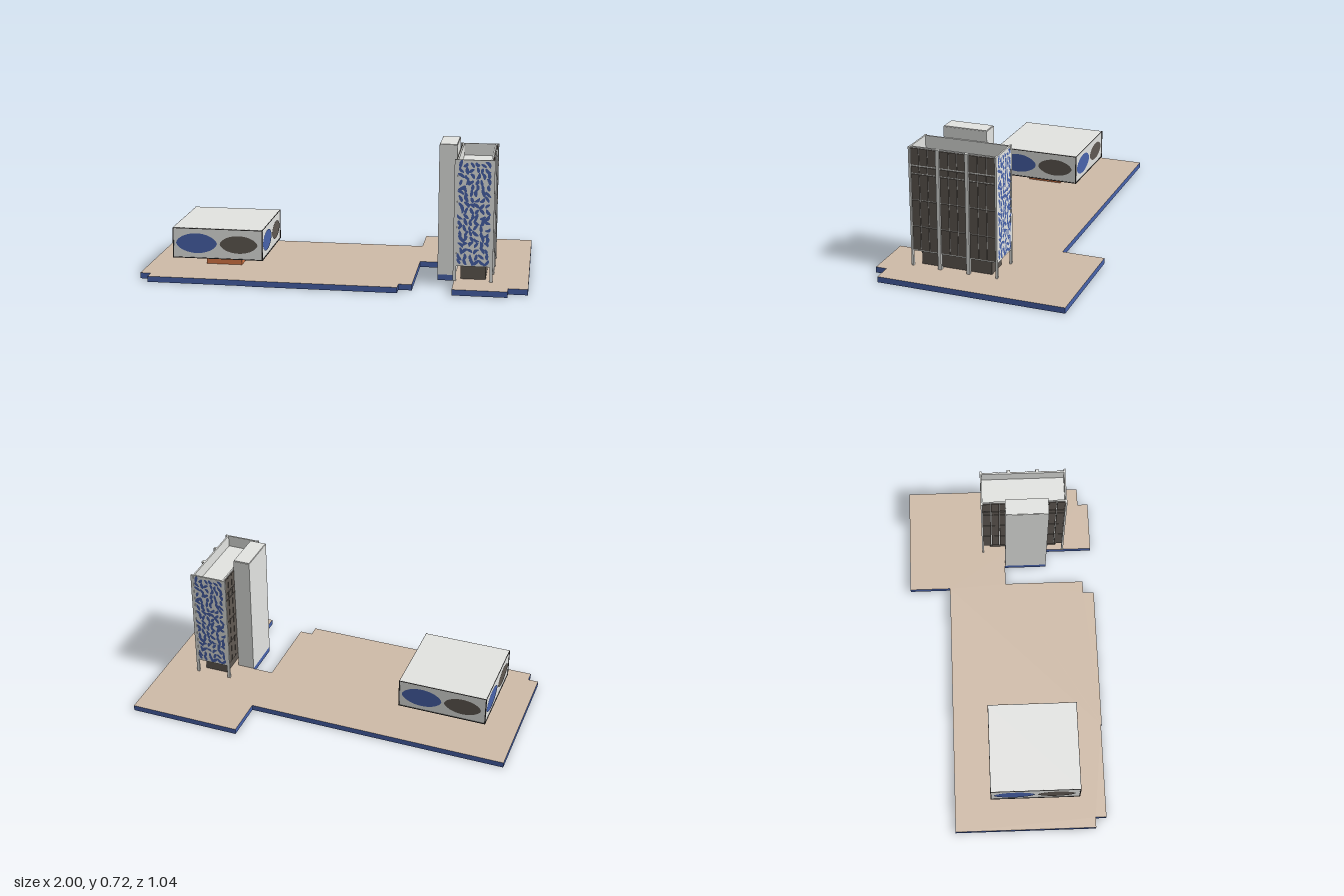
import * as THREE from 'three';
import { mergeGeometries } from 'three/addons/utils/BufferGeometryUtils.js';

const paint = (name, color) => {
  const m = new THREE.MeshStandardMaterial({ color });
  m.name = name;
  return m;
};

export function createModel() {
  const model = new THREE.Group();
  const concrete = paint('pale concrete', 0xe3e4e1);
  const blue = paint('blue', 0x4863ab);
  const paving = paint('tan paving', 0xcfbba8);
  const dark = paint('dark glass', 0x605952);
  const brick = paint('orange brick', 0xd97846);
  const trim = paint('dark trim', 0x3a3836);

  const add = (parent, name, geo, mat) => {
    const mesh = new THREE.Mesh(geo, mat);
    mesh.name = name;
    parent.add(mesh);
    return mesh;
  };
  const group = (name, parent = model) => {
    const g = new THREE.Group();
    g.name = name;
    parent.add(g);
    return g;
  };
  // Box given by its limits on each axis
  const block = (x0, x1, y0, y1, z0, z1) =>
    new THREE.BoxGeometry(x1 - x0, y1 - y0, z1 - z0)
      .translate((x0 + x1) / 2, (y0 + y1) / 2, (z0 + z1) / 2);

  // Plinth: notched tan slab, with a blue skirt hanging below its edge
  const corners = [
    [-1, -0.295], [0.4, -0.295], [0.4, -0.52], [1, -0.52], [1, 0.457], [0.9, 0.457],
    [0.9, 0.515], [0.622, 0.515], [0.622, 0.254], [0.53, 0.254], [0.53, 0.022], [0.418, 0.022],
    [0.418, 0.46], [0.35, 0.46], [0.35, 0.52], [-0.43, 0.52], [-0.43, 0.515], [-0.945, 0.515],
    [-0.945, 0.457], [-1, 0.457],
  ].map(([x, z]) => new THREE.Vector2(x, z));
  // Same outline moved inwards by d (all corners are square)
  const inset = (d) => corners.map((p, i) => {
    const n = corners.length;
    const a = p.clone().sub(corners[(i + n - 1) % n]).normalize();
    const b = corners[(i + 1) % n].clone().sub(p).normalize();
    return new THREE.Vector2(p.x - (a.y + b.y) * d, p.y + (a.x + b.x) * d);
  });
  const slab = (shape, y0, y1) => new THREE.ExtrudeGeometry(shape, { depth: y1 - y0, bevelEnabled: false })
    .rotateX(Math.PI / 2).translate(0, y1, 0);
  add(model, 'plinthSlab', slab(new THREE.Shape(corners), 0.018, 0.03), [paving, blue]);
  const skirt = new THREE.Shape(corners);
  skirt.holes.push(new THREE.Path(inset(0.004)));
  add(model, 'plinthSkirt', slab(skirt, 0, 0.018), blue);

  // Low pavilion on a brick base
  const pavilion = group('pavilion');
  pavilion.position.set(-0.606, 0, 0.136);
  add(pavilion, 'pavilionBase', block(-0.095, 0.095, 0.03, 0.1, -0.095, 0.095), brick);
  add(pavilion, 'pavilionHall', block(-0.236, 0.236, 0.098, 0.258, -0.236, 0.236), concrete);
  const lens = (rx, ry) => {
    const pts = [];
    for (let i = 0; i < 40; i++) {
      const a = (i / 40) * Math.PI * 2;
      pts.push(new THREE.Vector2(rx * Math.cos(a),
        ry * Math.sign(Math.sin(a)) * Math.pow(Math.abs(Math.sin(a)), 1.2)));
    }
    return new THREE.ShapeGeometry(new THREE.Shape(pts));
  };
  for (let i = 0; i < 4; i++) {
    const side = group('pavilionSide', pavilion);
    side.rotation.y = i * Math.PI / 2;
    add(side, 'blueLens', lens(0.109, 0.053).translate(-0.112, 0.178, 0.238), blue);
    add(side, 'darkLens', lens(0.1, 0.047).translate(0.112, 0.177, 0.238), dark);
    add(side, 'bottomTrim', block(-0.239, 0.239, 0.097, 0.101, 0.234, 0.239), trim);
    add(side, 'topTrim', block(-0.238, 0.238, 0.254, 0.2575, 0.234, 0.238), trim);
    add(side, 'cornerTrim', block(0.234, 0.239, 0.099, 0.2575, 0.234, 0.239), trim);
  }

  // Tower body, recessed roof and parapet
  const tower = group('tower');
  tower.position.set(0.717, 0, 0.126);
  const W = 0.089, D = 0.229, Y0 = 0.108, Y1 = 0.659, ROOF = 0.595;
  add(tower, 'groundFloor', block(-0.064, 0.064, 0.03, Y0, -0.187, 0.189), dark);
  add(tower, 'towerBody', block(-W, W, Y0, ROOF, -D, D), concrete);
  for (const s of [-1, 1]) {
    add(tower, 'sideParapet', new THREE.BoxGeometry(0.008, Y1 - ROOF, 2 * D)
      .translate(s * (W - 0.004), (Y1 + ROOF) / 2, 0), concrete);
    add(tower, 'endParapet', new THREE.BoxGeometry(2 * W - 0.016, Y1 - ROOF, 0.008)
      .translate(0, (Y1 + ROOF) / 2, s * (D - 0.004)), concrete);
  }

  // Long sides: raised dark panes with pale joints between them, and columns
  const storeys = [[0.116, 0.242], [0.247, 0.381], [0.386, 0.518], [0.524, 0.558], [0.566, 0.652]];
  const joints = [-0.224, -0.176, -0.131, -0.076, -0.023, 0.022, 0.077, 0.132, 0.177, 0.224];
  const panes = [];
  for (const [y0, y1] of storeys)
    for (let i = 0; i < joints.length - 1; i++)
      panes.push(block(W, W + 0.005, y0, y1, joints[i] + 0.002, joints[i + 1] - 0.002));
  const glazing = mergeGeometries(panes);
  for (const s of [-1, 1]) {
    const facade = group('glazedSide', tower);
    facade.rotation.y = s > 0 ? 0 : Math.PI;
    add(facade, 'windowPanes', glazing, dark);
    for (const z of [-0.226, 0.226])
      add(facade, 'cornerColumn', block(W - 0.004, W + 0.012, 0.03, Y1, z - 0.005, z + 0.005), concrete);
    if (s > 0) for (const z of [-0.076, 0.077])
      add(facade, 'middleColumn', block(W - 0.003, W + 0.014, 0.03, Y1, z - 0.009, z + 0.009), concrete);
  }

  // Mosaic end walls: curved blue strokes scattered on a jittered grid
  let seed = 7;
  const rnd = () => (seed = (seed * 16807) % 2147483647) / 2147483647;
  const stroke = (x, y, length, width, angle, bend) => {
    const upper = [], lower = [];
    for (let i = 0; i <= 6; i++) {
      const t = i / 3 - 1;
      const w = (width / 2) * Math.sqrt(Math.max(0.08, 1 - t * t));
      const mid = bend * (1 - t * t);
      upper.unshift(new THREE.Vector2(t * length / 2, mid + w));
      lower.push(new THREE.Vector2(t * length / 2, mid - w));
    }
    return new THREE.ShapeGeometry(new THREE.Shape([...lower, ...upper]))
      .rotateZ(angle).translate(x, y, 0);
  };
  const strokes = [];
  const cols = 6, rows = 18;
  for (let r = 0; r < rows; r++) {
    for (let c = 0; c < cols; c++) {
      const x = -0.068 + 0.136 * c / (cols - 1) + (rnd() - 0.5) * 0.01;
      const y = 0.13 + 0.505 * r / (rows - 1) + (rnd() - 0.5) * 0.01;
      strokes.push(stroke(x, y, 0.028 + rnd() * 0.014, 0.014 + rnd() * 0.004,
        Math.PI * (0.15 + rnd() * 0.7), (rnd() - 0.5) * 0.014));
    }
  }
  const mosaic = mergeGeometries(strokes).translate(0, 0, D + 0.002);
  for (const s of [0, 1]) {
    const wall = group('mosaicEnd', tower);
    wall.rotation.y = s * Math.PI;
    add(wall, 'mosaic', mosaic, blue);
  }

  // Lift shaft with a slightly bevelled cap
  const shaft = group('liftShaft');
  add(shaft, 'shaftWall', block(0.53, 0.622, 0.03, 0.712, 0.024, 0.254), concrete);
  add(shaft, 'shaftCap', block(0.532, 0.62, 0.712, 0.716, 0.027, 0.251), concrete);
  return model;
}
